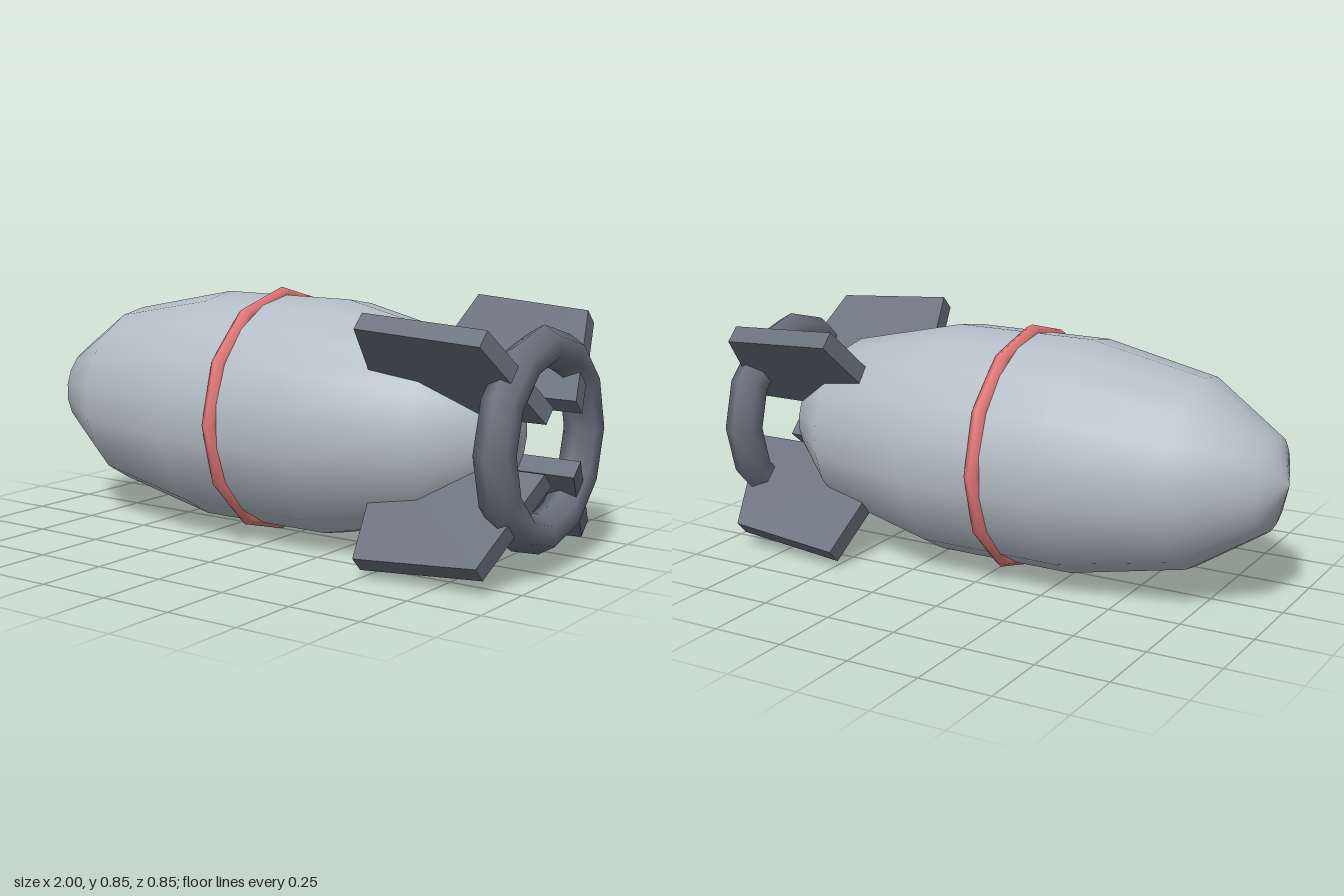
import * as THREE from 'three';

const AXIS_Y = 0.427;

export function createModel() {
  const model = new THREE.Group();
  const mat = (color) => new THREE.MeshStandardMaterial({ color });
  const shellMat = mat(0xb4bec6), bandMat = mat(0xe57878), tailMat = mat(0x68707c);

  // everything is centred on a horizontal axis along x
  const add = (name, geometry, material, x = 0) => {
    const mesh = new THREE.Mesh(geometry, material);
    mesh.name = name;
    mesh.position.set(x, AXIS_Y, 0);
    model.add(mesh);
    return mesh;
  };

  // body: lathe profile as [x along the axis, radius], nose to tail
  const profile = [
    [-1, 0], [-0.945, 0.158], [-0.705, 0.315], [-0.3, 0.397],
    [0.2, 0.397], [0.615, 0.302], [0.8, 0.14], [0.845, 0],
  ].map(([x, r]) => new THREE.Vector2(r, x));
  const body = new THREE.LatheGeometry(profile, 18, Math.PI / 2);
  body.rotateZ(-Math.PI / 2);
  add('body', body, shellMat);

  // hoops around the axis
  const hoop = (radius, tube) => new THREE.TorusGeometry(radius, tube, 6, 12).rotateY(Math.PI / 2);
  add('band', hoop(0.398, 0.026), bandMat, -0.077);
  add('tailRing', hoop(0.298, 0.065), tailMat, 0.923);

  // four slanted fins, running from inside the body out past the tail ring
  const thickness = 0.064;
  const outline = new THREE.Shape([
    [0.41, 0.14], [1, 0.14], [0.91, 0.5], [0.49, 0.538],
  ].map(([x, r]) => new THREE.Vector2(x, r)));
  const finGeometry = new THREE.ExtrudeGeometry(outline, { depth: thickness, bevelEnabled: false });
  finGeometry.translate(0, 0, -thickness / 2);
  for (let i = 0; i < 4; i++) {
    const fin = add(`fin${i + 1}`, finGeometry, tailMat);
    fin.rotation.x = Math.PI / 4 + (i * Math.PI) / 2;
  }

  return model;
}
